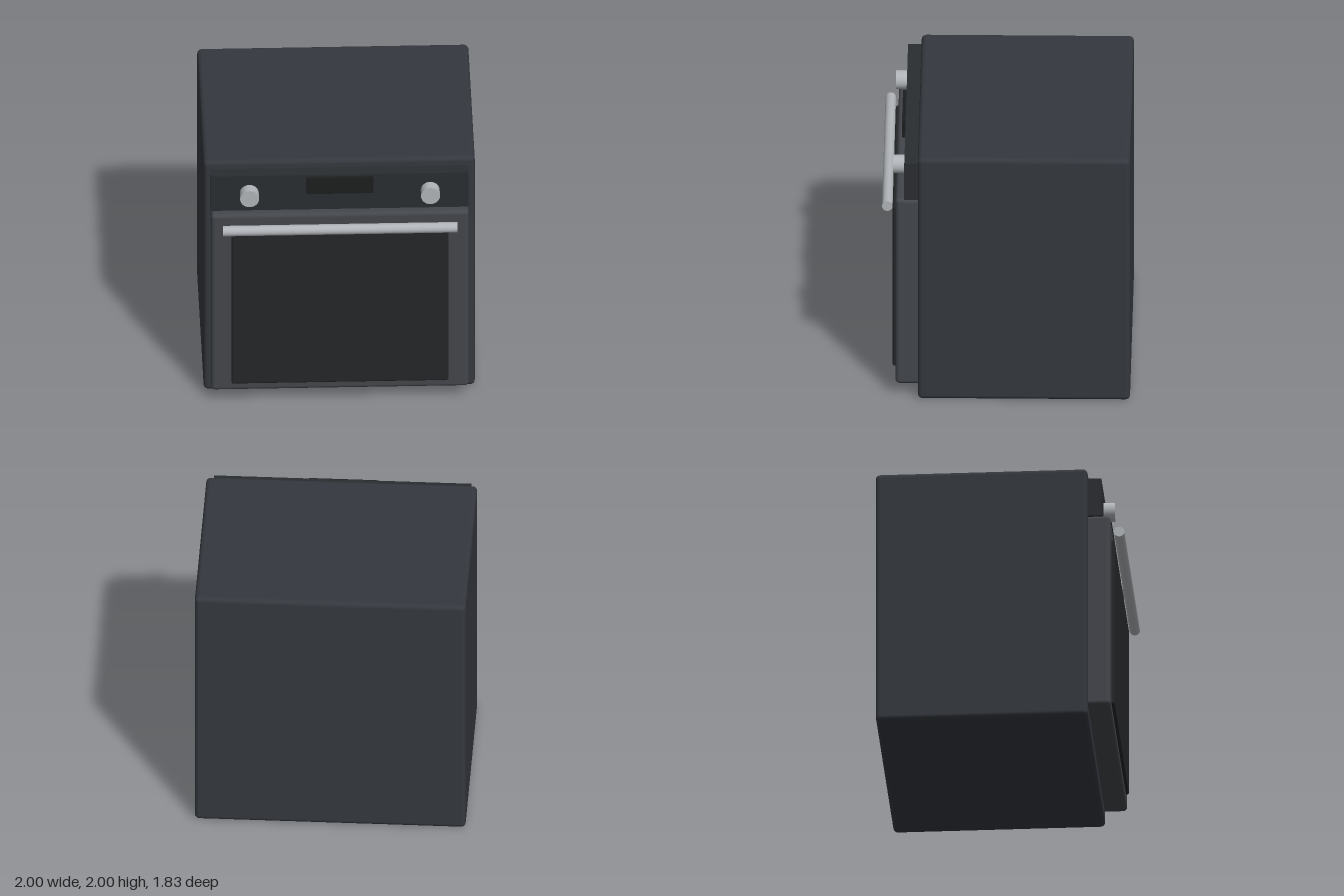
import * as THREE from 'three';
import { RoundedBoxGeometry } from 'three/addons/geometries/RoundedBoxGeometry.js';

export function createModel() {
  const oven = new THREE.Group();
  oven.name = 'oven';

  const mat = (color) => new THREE.MeshStandardMaterial({ color });
  const bodyMat = mat(0x34383e);
  const doorMat = mat(0x43464b);
  const panelMat = mat(0x2a2d30);
  const glassMat = mat(0x252628);
  const displayMat = mat(0x1c1d1e);
  const metalMat = mat(0xb0b4b8);

  const add = (name, geometry, material, x, y, z) => {
    const mesh = new THREE.Mesh(geometry, material);
    mesh.name = name;
    mesh.position.set(x, y, z);
    oven.add(mesh);
    return mesh;
  };

  // Box centred on x, given by its width and y / z ranges; radius 0 keeps sharp edges
  const block = (name, width, y0, y1, z0, z1, radius, material) => {
    const size = [width, y1 - y0, z1 - z0];
    const geometry = radius
      ? new RoundedBoxGeometry(...size, 4, radius)
      : new THREE.BoxGeometry(...size);
    return add(name, geometry, material, 0, (y0 + y1) / 2, (z0 + z1) / 2);
  };

  // Housing
  block('body', 2, 0, 2, -0.915, 0.65, 0.035, bodyMat);

  // Door with its glass pane
  block('door', 1.9, 0.1, 1.635, 0.6, 0.815, 0.03, doorMat);
  block('doorGlass', 1.6, 0.17, 1.505, 0.77, 0.838, 0.015, glassMat);

  // Control panel and display
  block('controlPanel', 1.9, 1.635, 1.935, 0.6, 0.75, 0, panelMat);
  block('display', 0.5, 1.785, 1.92, 0.73, 0.777, 0, displayMat);

  // Knobs
  for (const [side, name] of [[1, 'leftKnob'], [-1, 'rightKnob']]) {
    const knob = add(name, new THREE.CylinderGeometry(0.07, 0.07, 0.085, 32), metalMat,
      side * 0.667, 1.787, 0.7925);
    knob.rotation.x = Math.PI / 2;
  }

  // Handle bar
  const handle = add('handle', new THREE.CylinderGeometry(0.039, 0.039, 1.73, 32), metalMat,
    0, 1.537, 0.876);
  handle.rotation.z = Math.PI / 2;

  return oven;
}
